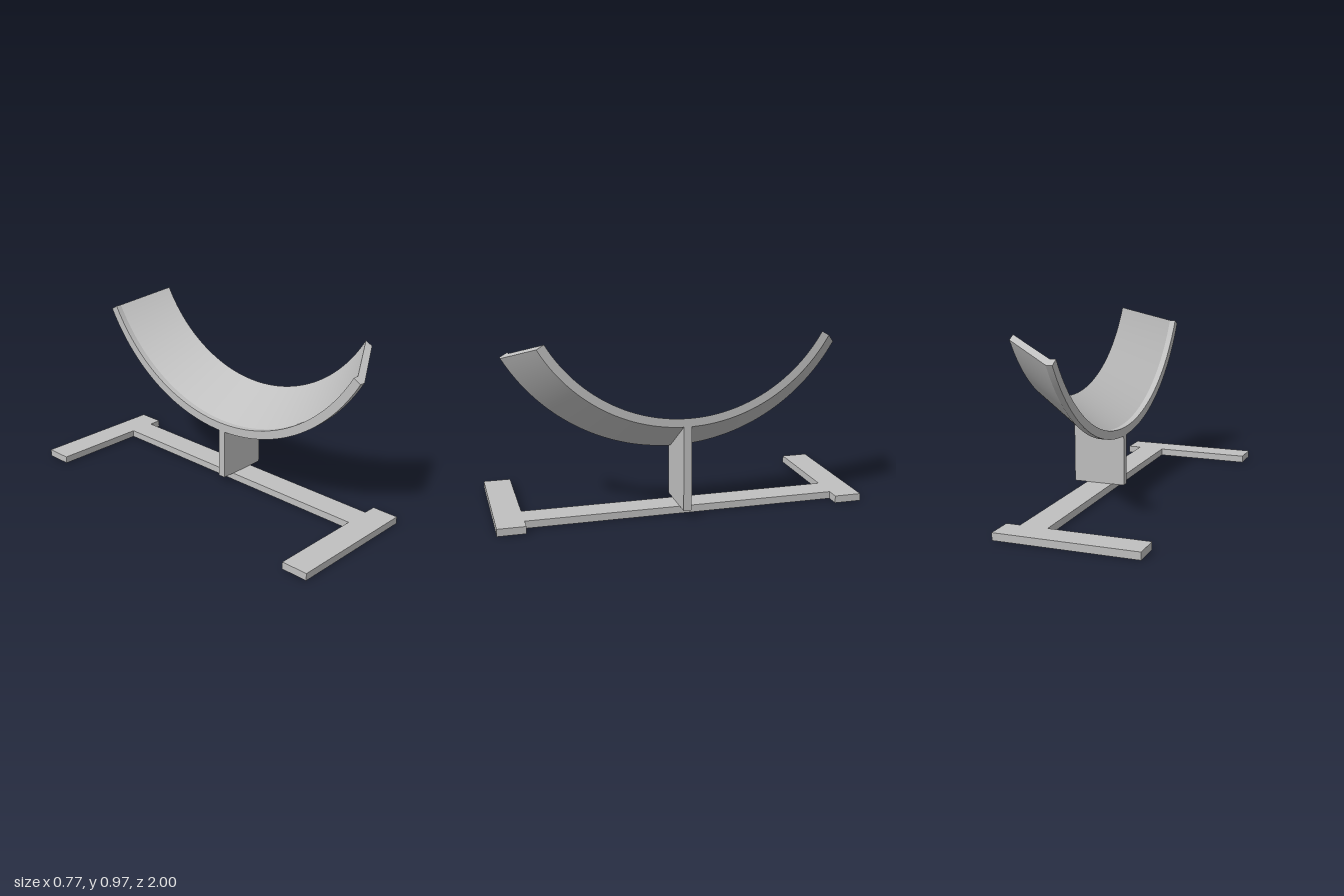
import * as THREE from 'three';
import { mergeGeometries, toCreasedNormals } from 'three/addons/utils/BufferGeometryUtils.js';

const AXIS_Y = 1.387;            // height of the cradle's axis of revolution
const NEAR = 0.083, BEND = 0.117, FAR = 0.383;
const V = (x, y) => new THREE.Vector2(x, y);

export function createModel() {
  const model = new THREE.Group();
  const grey = new THREE.MeshStandardMaterial({ color: 0xc0c0c0, side: THREE.DoubleSide });
  grey.name = 'plain grey';

  const add = (name, geometry, x = 0, y = 0, z = 0) => {
    const mesh = new THREE.Mesh(geometry, grey);
    mesh.name = name;
    mesh.position.set(x, y, z);
    model.add(mesh);
  };

  // Cradle: bent strip section (radius, x) swept through 120 degrees
  const section = [
    V(1.062, NEAR), V(1.062, BEND), V(0.888, FAR),
    V(0.843, FAR), V(1.014, BEND), V(1.014, NEAR),
  ];
  const start = Math.PI / 6, sweep = Math.PI * 2 / 3;
  const shell = toCreasedNormals(
    new THREE.LatheGeometry([...section, section[0]], 72, start, sweep), 0.35);
  const caps = [start, start + sweep].map((angle, i) => {
    const cap = new THREE.ShapeGeometry(new THREE.Shape(section));
    if (i === 1) {               // second end faces the other way
      cap.index.array.reverse();
      cap.attributes.normal.array.forEach((n, k, a) => { a[k] = -n; });
    }
    return cap.rotateY(angle - Math.PI / 2).toNonIndexed();
  });
  add('cradle', mergeGeometries([shell, ...caps]).rotateZ(-Math.PI / 2), 0, AXIS_Y, 0);

  // Post: upright plate whose top follows the underside of the cradle
  const outline = new THREE.Shape([
    V(NEAR, 0.04), V(FAR, 0.04), V(FAR, 0.5), V(BEND, 0.326), V(NEAR, 0.326),
  ]);
  add('post', new THREE.ExtrudeGeometry(outline, { depth: 0.044, bevelEnabled: false }), 0, 0, -0.022);

  // Base: flat I-shaped frame, one outline for the rail and both feet
  const railIn = 0.158, railOut = 0.308, footZ = 0.85;
  const base = new THREE.Shape([
    V(-FAR, -1), V(FAR, -1), V(FAR, -footZ), V(railOut, -footZ),
    V(railOut, footZ), V(FAR, footZ), V(FAR, 1), V(-FAR, 1),
    V(-FAR, footZ), V(railIn, footZ), V(railIn, -footZ), V(-FAR, -footZ),
  ]);
  const baseGeometry = new THREE.ExtrudeGeometry(base, { depth: 0.04, bevelEnabled: false });
  add('base', baseGeometry.rotateX(-Math.PI / 2));

  return model;
}
